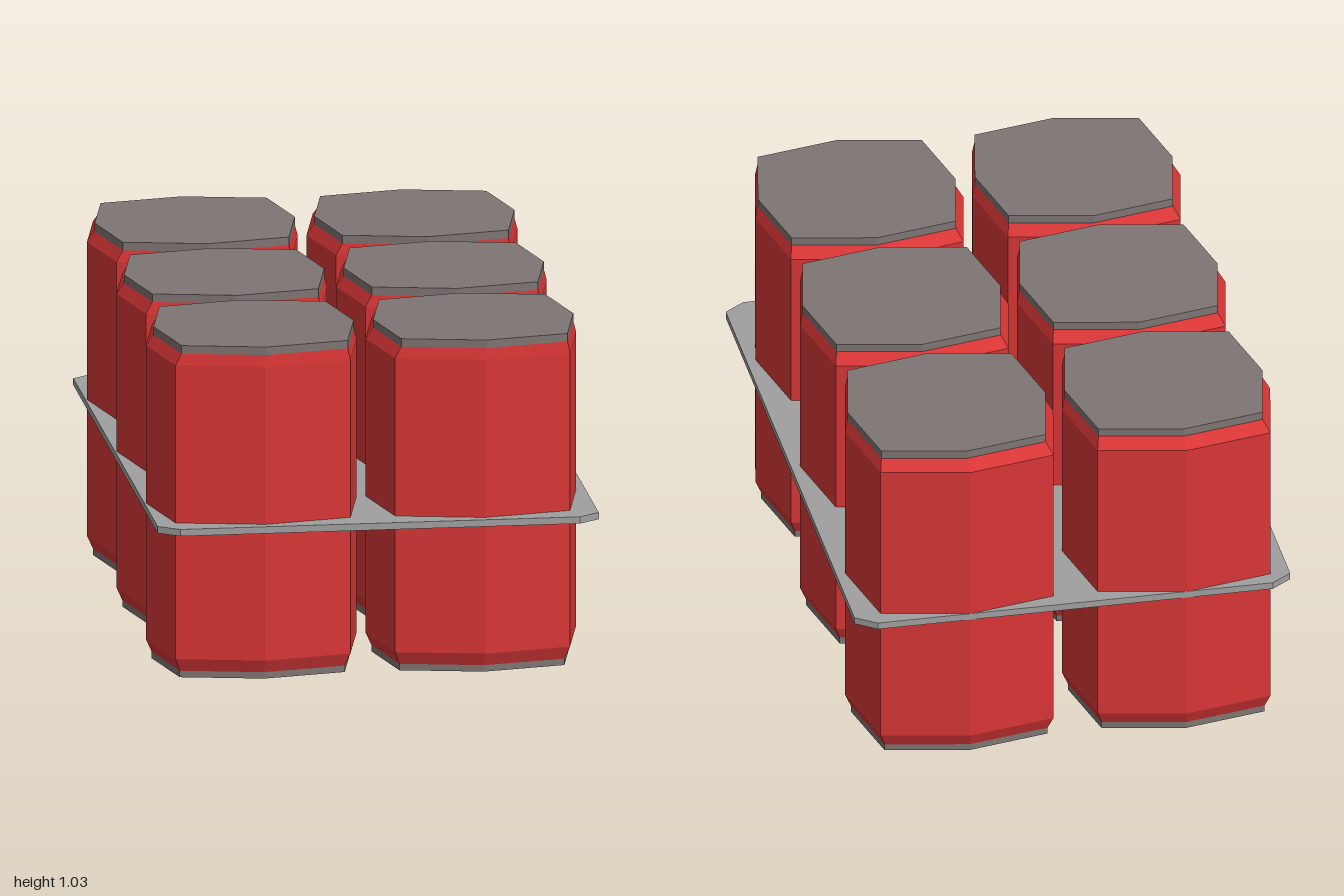
import * as THREE from 'three';

// Flat-faced solid through stacked outlines of [x, z] points (running +x towards +z)
function loft(rings, capBottom, capTop) {
  const pos = [];
  const tri = (...pts) => pts.forEach(p => pos.push(...p));
  const pts = rings.map(r => r.outline.map(([x, z]) => [x, r.y, z]));
  const n = pts[0].length;
  for (let k = 0; k + 1 < pts.length; k++) {
    for (let i = 0; i < n; i++) {
      const j = (i + 1) % n, lo = pts[k], hi = pts[k + 1];
      tri(lo[i], hi[i], hi[j]);
      tri(lo[i], hi[j], lo[j]);
    }
  }
  const first = pts[0], last = pts[pts.length - 1];
  for (let i = 1; i + 1 < n; i++) {
    if (capBottom) tri(first[0], first[i], first[i + 1]);
    if (capTop) tri(last[0], last[i + 1], last[i]);
  }
  const g = new THREE.BufferGeometry();
  g.setAttribute('position', new THREE.Float32BufferAttribute(pos, 3));
  g.computeVertexNormals();
  return g;
}

// Squarish octagon: points on the axes, corners at 0.83 of the radius on both axes
function octagon(r, dx = 0, dz = 0) {
  const c = r * 0.83;
  return [[r, 0], [c, c], [0, r], [-c, c], [-r, 0], [-c, -c], [0, -r], [c, -c]]
    .map(([x, z]) => [x + dx, z + dz]);
}

export function createModel() {
  const group = new THREE.Group();
  const red = new THREE.MeshStandardMaterial({ color: 0xd93636, flatShading: true });
  red.name = 'red paint';
  const metal = new THREE.MeshStandardMaterial({ color: 0x7d7573, flatShading: true });
  metal.name = 'dull metal';
  const plastic = new THREE.MeshStandardMaterial({ color: 0xa0a0a0, flatShading: true });
  plastic.name = 'grey plastic';

  // The lid sits slightly off the can's centre
  const base = octagon(0.302);
  const lid = octagon(0.304, 0.006, 0.011);
  const bodyGeo = loft([
    { y: 0.02, outline: base },
    { y: 0.06, outline: octagon(0.32) },
    { y: 0.97, outline: octagon(0.32) },
    { y: 1.005, outline: lid },
  ]);
  const baseGeo = loft([{ y: 0, outline: base }, { y: 0.02, outline: base }], true, false);
  const lidGeo = loft([{ y: 1.005, outline: lid }, { y: 1.03, outline: lid }], false, true);

  // Two columns of three cans
  for (const x of [-0.345, 0.322]) {
    for (const z of [-0.68, -0.015, 0.65]) {
      const can = new THREE.Group();
      can.name = 'can';
      for (const [name, geo, mat] of [
        ['canBody', bodyGeo, red], ['canBase', baseGeo, metal], ['canLid', lidGeo, metal],
      ]) {
        const mesh = new THREE.Mesh(geo, mat);
        mesh.name = name;
        can.add(mesh);
      }
      can.position.set(x, 0, z);
      group.add(can);
    }
  }

  // Thin carrier sheet with clipped corners
  const X = 0.67, Z = 1, cx = 0.607, cz = 0.953;
  const sheet = [[X, -cz], [X, cz], [cx, Z], [-cx, Z], [-X, cz], [-X, -cz], [-cx, -Z], [cx, -Z]];
  const carrier = new THREE.Mesh(
    loft([{ y: 0.461, outline: sheet }, { y: 0.482, outline: sheet }], true, true), plastic);
  carrier.name = 'carrierSheet';
  group.add(carrier);
  return group;
}
